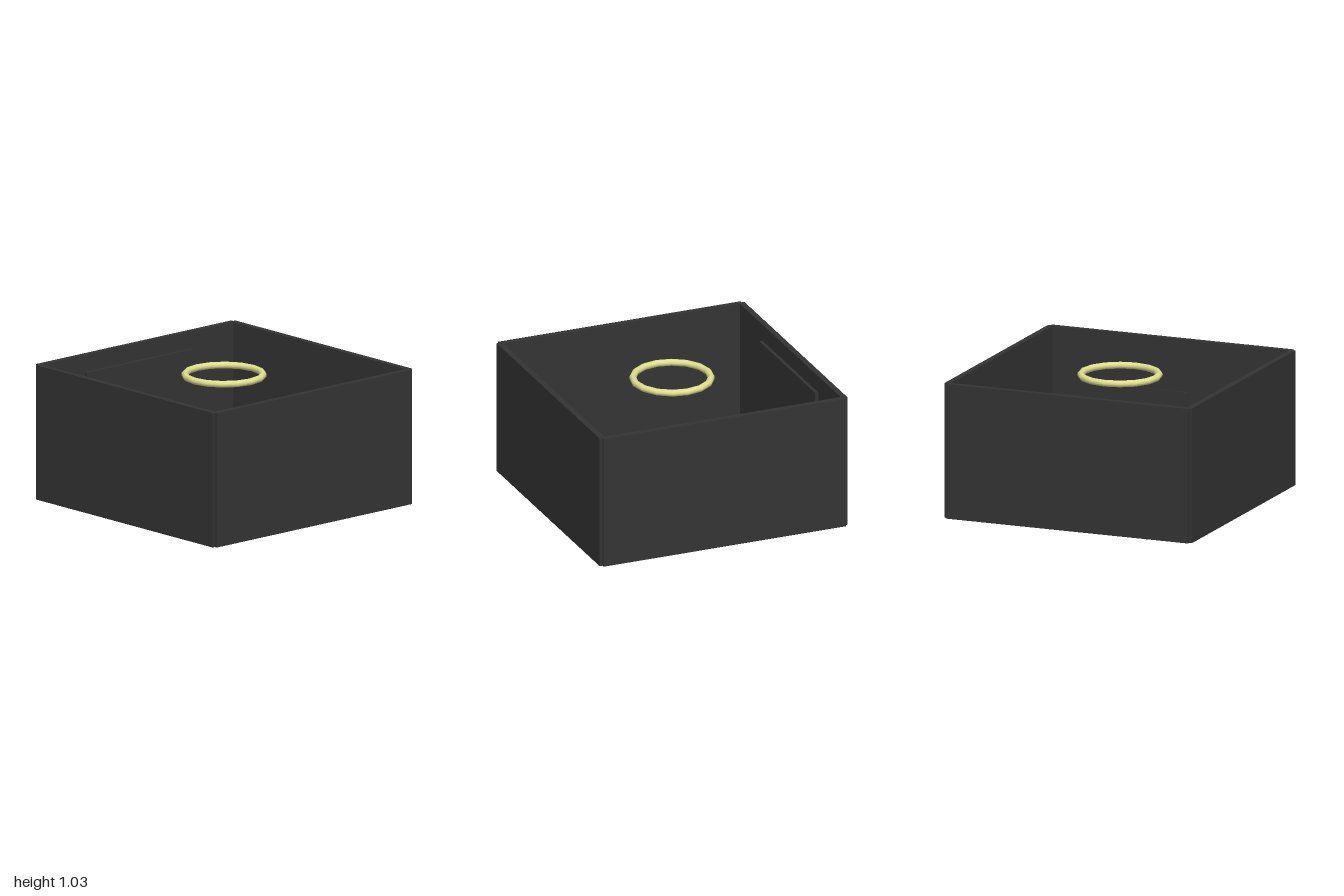
import * as THREE from 'three';

export function createModel() {
  const model = new THREE.Group();
  model.name = 'room';
  const charcoal = new THREE.MeshStandardMaterial({ color: 0x343434 });
  charcoal.name = 'charcoal';
  const paleYellow = new THREE.MeshStandardMaterial({ color: 0xe0e090 });
  paleYellow.name = 'paleYellow';

  const HEIGHT = 1.03, THICK = 0.045, INNER = 1 - THICK;

  const add = (name, geometry, material, x, y, z, parent = model) => {
    const mesh = new THREE.Mesh(geometry, material);
    mesh.name = name;
    mesh.position.set(x, y, z);
    parent.add(mesh);
    return mesh;
  };

  // Floor between the walls
  add('floor', new THREE.BoxGeometry(INNER * 2, 0.025, INNER * 2), charcoal, 0, 0.0125, 0);

  // Four walls, each a little short so the corners are notched.
  // A wall is built at the back and turned into place; some carry a panel.
  const sides = [
    { name: 'back', angle: 0, panel: [0.3, 0.2, 0.01, 0.53] },
    { name: 'right', angle: Math.PI / 2, panel: [1.06, 0.77, 0.025, 0.515] },
    { name: 'front', angle: Math.PI },
    { name: 'left', angle: -Math.PI / 2, panel: [0.3, 0.2, 0.01, 0.53] },
  ];
  for (const { name, angle, panel } of sides) {
    const side = new THREE.Group();
    side.name = name + 'Side';
    side.rotation.y = angle;
    model.add(side);
    add(name + 'Wall', new THREE.BoxGeometry(2 - THICK, HEIGHT, THICK), charcoal,
      0, HEIGHT / 2, -1 + THICK / 2, side);
    if (panel) {
      const [w, h, d, y] = panel;
      add(name + 'Panel', new THREE.BoxGeometry(w, h, d), charcoal, 0, y, -INNER + d / 2, side);
    }
  }

  // Ring lamp hanging just below the wall tops
  const ring = add('ringLamp', new THREE.TorusGeometry(0.292, 0.026, 12, 16), paleYellow, 0, 0.97, 0);
  ring.rotation.x = Math.PI / 2;

  return model;
}
